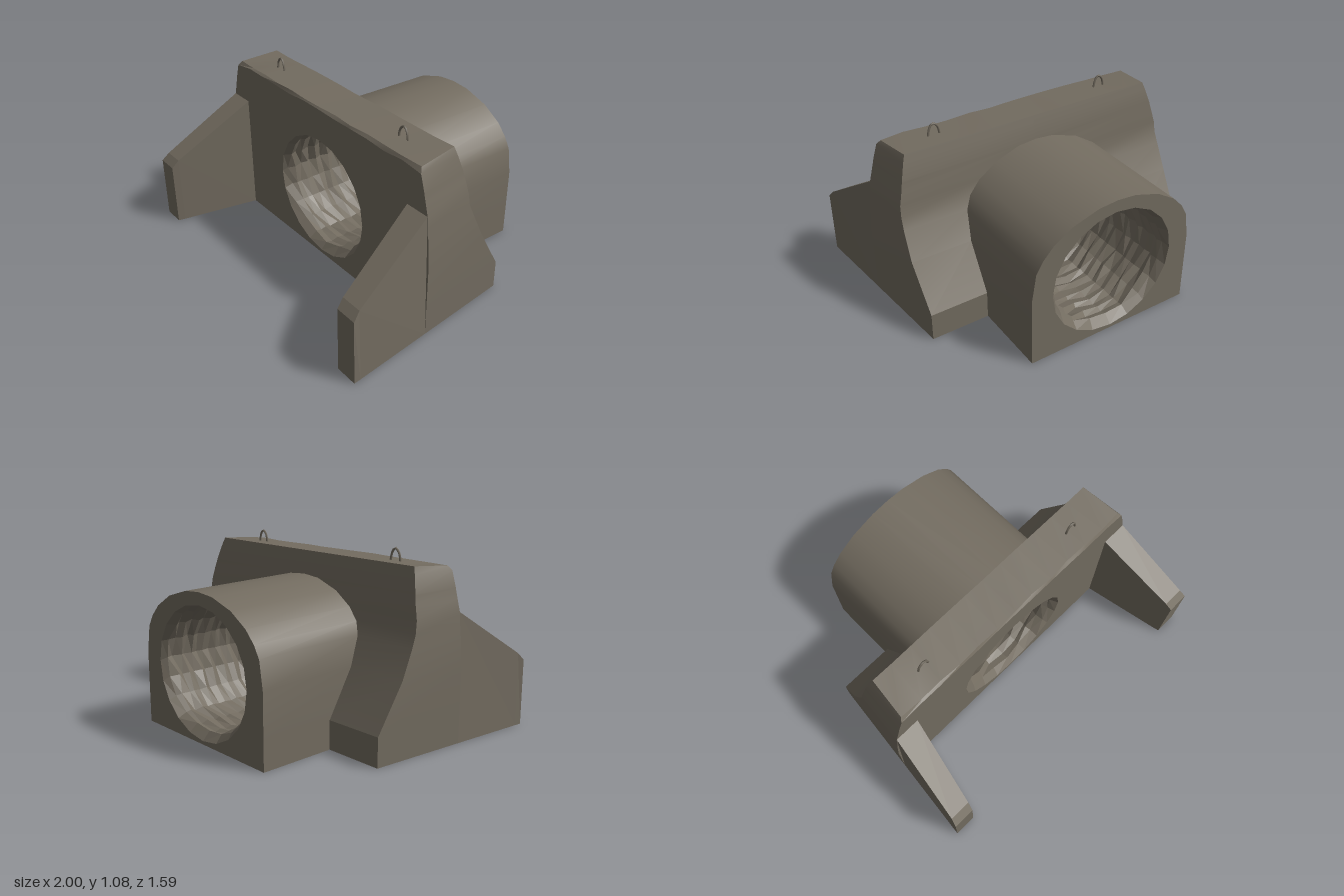
import * as THREE from 'three';
import { toCreasedNormals } from 'three/addons/utils/BufferGeometryUtils.js';

// Cross-section rows of the headwall: height, back z, side taper, pipe half width
const ROWS = [
  [0, -0.33, 0, 0.53], [0.17, -0.33, 0, 0.53], [0.44, -0.17, 0, 0.53],
  [0.6, -0.095, 0.012, 0.505], [0.67, -0.065, 0.02, 0.465], [0.74, -0.055, 0.025, 0.4],
  [0.815, -0.045, 0.045, 0.28], [0.865, -0.035, 0.058, 0.12], [0.875, -0.034, 0.06, 0],
  [0.965, -0.012, 0.088, 0], [1.01, 0, 0.105, 0],
];
const LAST = ROWS.length - 1;
const ARCH = ROWS.slice(0, 9);
const FRONT = 0.265, BACK = -0.795, SIDES = 20;

const hash = (a, b) => {
  const v = Math.sin(a * 12.9898 + b * 78.233) * 43758.5453;
  return v - Math.floor(v);
};

// Collects quads, mirrored on request, into one geometry
class Surface {
  constructor() { this.data = []; }
  quad(a, b, c, d) {
    for (const p of [a, b, c, a, c, d]) this.data.push(p[0], p[1], p[2]);
  }
  both(a, b, c, d) {
    const m = (p) => [-p[0], p[1], p[2]];
    this.quad(a, b, c, d);
    this.quad(m(d), m(c), m(b), m(a));
  }
  build(crease = 0) {
    const g = new THREE.BufferGeometry();
    g.setAttribute('position', new THREE.Float32BufferAttribute(this.data, 3));
    g.computeVertexNormals();
    return crease ? toCreasedNormals(g, crease) : g;
  }
}

const halfWidth = (z, taper) => 0.885 + (z + 0.335) * 0.102 - taper;

// Mouth of the bore, shared by both ends
const mouth = (j) => {
  const t = (j / SIDES) * Math.PI * 2;
  return [Math.cos(t) * 0.4, 0.405 + Math.sin(t) * 0.385];
};
function panel(points) {
  const shape = new THREE.Shape(points.map((p) => new THREE.Vector2(p[0], p[1])));
  const hole = [];
  for (let j = 0; j < SIDES; j++) hole.push(new THREE.Vector2(...mouth(j)));
  shape.holes.push(new THREE.Path(hole));
  return new THREE.ShapeGeometry(shape);
}

export function createModel() {
  const group = new THREE.Group();
  const concrete = new THREE.MeshStandardMaterial({ color: 0x736c60 });
  concrete.name = 'weathered concrete';
  const add = (name, geometry) => {
    const mesh = new THREE.Mesh(geometry, concrete);
    mesh.name = name;
    group.add(mesh);
    return mesh;
  };

  // Headwall sides and sloping back
  const frontPoint = ([y, , taper], i) => (i === LAST
    ? [halfWidth(0.245, taper), 0.992, 0.245]
    : [halfWidth(FRONT, taper), y, FRONT]);
  const backPoint = ([y, z, taper]) => [halfWidth(z, taper), y, z];
  const seam = ([y, z, , arch]) => [arch, y, z];
  const sides = new Surface(), slope = new Surface();
  for (let i = 0; i < LAST; i++) {
    const a = ROWS[i], b = ROWS[i + 1];
    sides.both(frontPoint(a, i), backPoint(a), backPoint(b), frontPoint(b, i + 1));
    slope.both(backPoint(a), seam(a), seam(b), backPoint(b));
  }
  add('headwallSides', sides.build(0.5));
  add('headwallBack', slope.build(0.5));

  // Worn top edge and top surface
  const edge = frontPoint(ROWS[LAST - 1], LAST - 1), rim = frontPoint(ROWS[LAST], LAST);
  const crest = backPoint(ROWS[LAST]);
  const lower = [], upper = [], rear = [];
  const N = 12;
  for (let i = 0; i <= N; i++) {
    const u = (i / N) * 2 - 1, inside = i > 0 && i < N ? 1 : 0;
    lower.push([edge[0] * u, edge[1] + inside * (0.005 + 0.02 * hash(i, 1)), FRONT]);
    upper.push([rim[0] * u, rim[1] + inside * 0.006 * hash(i, 2), rim[2] + inside * 0.014 * hash(i, 3)]);
    rear.push([crest[0] * u, crest[1] - inside * 0.006 * hash(i, 4), crest[2]]);
  }
  const top = new Surface();
  for (let i = 0; i < N; i++) {
    top.quad(lower[i], lower[i + 1], upper[i + 1], upper[i]);
    top.quad(upper[i], upper[i + 1], rear[i + 1], rear[i]);
  }
  add('headwallTop', top.build(0.4));

  // Front face with the round opening
  const rightEdge = ROWS.slice(0, LAST - 1).map(frontPoint);
  const leftEdge = rightEdge.map((p) => [-p[0], p[1]]).reverse();
  add('headwallFront', panel([...rightEdge, ...lower.slice().reverse(), ...leftEdge]))
    .position.z = FRONT;

  // Arched pipe housing, cut to meet the sloping back
  const end = ([y, , , arch]) => [arch, y * 0.985, BACK];
  const housing = new Surface();
  for (let i = 0; i < ARCH.length - 1; i++) {
    const a = ARCH[i], b = ARCH[i + 1];
    housing.both(seam(a), end(a), end(b), seam(b));
  }
  add('pipeHousing', housing.build(0.5));

  const archRight = ARCH.map(end);
  const archLeft = archRight.slice(0, -1).map((p) => [-p[0], p[1]]).reverse();
  const pipeEnd = add('pipeEnd', panel([...archRight, ...archLeft]));
  pipeEnd.rotation.y = Math.PI;
  pipeEnd.position.z = BACK;

  // Rough, ridged bore running right through
  const RINGS = 26;
  const borePoint = (k, j) => {
    j %= SIDES;
    const [x, y] = mouth(j);
    let z = FRONT + (BACK - FRONT) * (k / RINGS);
    if (k === 0 || k === RINGS) return [x, y, z];
    const saw = ((k + j * 0.3) % 2) / 2;
    const r = 0.985 - 0.07 * saw - 0.03 * hash(k, j);
    z += (hash(j, k + 40) - 0.5) * 0.025;
    return [x * r, 0.42 + (y - 0.405) * r, z];
  };
  const bore = new Surface();
  for (let k = 0; k < RINGS; k++) {
    for (let j = 0; j < SIDES; j++) {
      bore.quad(borePoint(k, j), borePoint(k, j + 1), borePoint(k + 1, j + 1), borePoint(k + 1, j));
    }
  }
  add('pipeBore', bore.build());

  // Flat underside
  const base = new Surface();
  const under = (w0, z0, w1, z1) => base.quad([-w0, 0, z0], [w0, 0, z0], [w1, 0, z1], [-w1, 0, z1]);
  under(halfWidth(-0.33, 0), -0.33, halfWidth(FRONT, 0), FRONT);
  under(0.53, BACK, 0.53, -0.33);
  add('underside', base.build());

  // Splayed wing walls: z, inner bottom x, inner top x, outer bottom x, outer top x, height
  const wingSections = [
    [FRONT, 0.76, 0.765, 0.946, 0.92, 0.745],
    [0.75, 0.855, 0.855, 0.996, 0.985, 0.44],
    [0.793, 0.865, 0.865, 1, 0.998, 0.395],
  ].map(([z, ib, it, ob, ot, h]) => [[ib, 0, z], [ob, 0, z], [ot, h, z], [it, h, z]]);
  const wings = new Surface();
  for (let i = 0; i < 2; i++) {
    const a = wingSections[i], b = wingSections[i + 1];
    for (let j = 0; j < 4; j++) {
      const n = (j + 1) % 4;
      wings.both(a[j], a[n], b[n], b[j]);
    }
  }
  wings.both(...wingSections[2]);
  add('wingWalls', wings.build());

  // Lifting loops on top
  const loop = new THREE.CatmullRomCurve3([
    [-0.037, 0.99], [-0.025, 1.045], [0.005, 1.07], [0.025, 1.045], [0.037, 0.99],
  ].map(([x, y]) => new THREE.Vector3(x, y, 0)));
  const loopGeometry = new THREE.TubeGeometry(loop, 10, 0.007, 5);
  for (const [name, x] of [['leftLiftingLoop', 0.57], ['rightLiftingLoop', -0.57]]) {
    add(name, loopGeometry).position.set(x, 0, 0.13);
  }
  return group;
}
